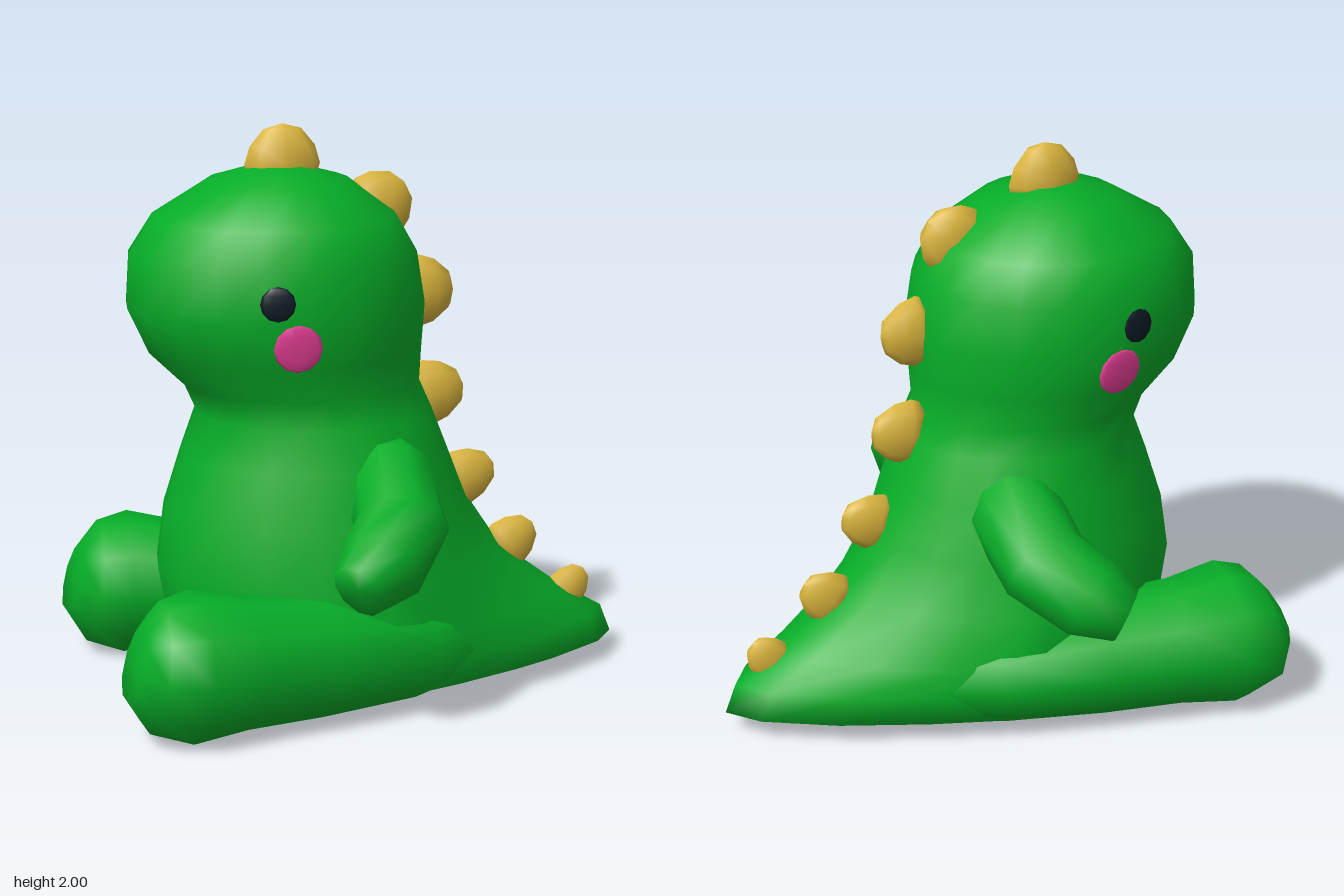
import * as THREE from 'three';

const green = new THREE.MeshStandardMaterial({ color: 0x06ad28 });
green.name = 'green skin';
const gold = new THREE.MeshStandardMaterial({ color: 0xdcb63e });
gold.name = 'gold spikes';
const pink = new THREE.MeshStandardMaterial({ color: 0xe83f98 });
pink.name = 'pink cheeks';
const dark = new THREE.MeshStandardMaterial({ color: 0x0c1a24 });
dark.name = 'dark eyes';

// Smooth closed skin over a list of rings with equal point counts
function loft(rings) {
  const n = rings[0].length, pos = [], index = [];
  rings.forEach(r => r.forEach(p => pos.push(p.x, p.y, p.z)));
  for (let i = 0; i < rings.length - 1; i++) {
    for (let j = 0; j < n; j++) {
      const k = (j + 1) % n;
      const a = i * n + j, b = i * n + k, c = a + n, d = b + n;
      index.push(a, b, d, a, d, c);
    }
  }
  // end caps
  [0, rings.length - 1].forEach(i => {
    const mid = new THREE.Vector3();
    rings[i].forEach(p => mid.addScaledVector(p, 1 / n));
    const m = pos.length / 3;
    pos.push(mid.x, mid.y, mid.z);
    for (let j = 0; j < n; j++) {
      const a = i * n + j, b = i * n + (j + 1) % n;
      if (i === 0) index.push(m, b, a); else index.push(m, a, b);
    }
  });
  const g = new THREE.BufferGeometry();
  g.setAttribute('position', new THREE.Float32BufferAttribute(pos, 3));
  g.setIndex(index);
  g.computeVertexNormals();
  return g;
}

// Horizontal slice: half width, centre z, front z, back z, tail sharpness k
function slice([y, w, zc, zf, zb, k]) {
  const ring = [], n = 20;
  for (let j = 0; j < n; j++) {
    const t = j / n * Math.PI * 2, s = Math.sin(t), c = Math.cos(t);
    if (c >= -1e-6) {
      ring.push(new THREE.Vector3(w * s, y, zc + (zf - zc) * c));
    } else {
      const x = w * Math.sign(s) * Math.abs(s) ** (1 + 0.2 * k);
      ring.push(new THREE.Vector3(x, y, zc + (zb - zc) * Math.abs(c) ** (1 + 0.7 * k)));
    }
  }
  return ring;
}

// Rounded limb: sections of [x, y, z, radius]
function limb(sections, side) {
  const p = sections.map(s => new THREE.Vector3(s[0] * side, s[1], s[2]));
  const n = 10;
  return loft(p.map((c, i) => {
    const d = p[Math.min(i + 1, p.length - 1)].clone().sub(p[Math.max(i - 1, 0)]).normalize();
    const u = new THREE.Vector3(0, 1, 0).cross(d).normalize();
    const v = d.clone().cross(u);
    return Array.from({ length: n }, (_, j) => {
      const t = j / n * Math.PI * 2;
      return c.clone().addScaledVector(u, sections[i][3] * Math.cos(t))
        .addScaledVector(v, sections[i][3] * Math.sin(t));
    });
  }));
}

export function createModel() {
  const model = new THREE.Group();
  model.name = 'sittingDinosaur';
  // the toy sits turned toward its right
  const toy = new THREE.Group();
  toy.name = 'toy';
  toy.position.set(0.08, 0, 0.057);
  toy.rotation.y = -0.607;
  model.add(toy);
  const add = (name, geometry, material) => {
    const m = new THREE.Mesh(geometry, material);
    m.name = name;
    toy.add(m);
    return m;
  };

  // tail, belly, neck and head in one skin
  add('bodyHeadAndTail', loft([
    [0.03, 0.40, -0.28, 0.10, -1.08, 1.35],
    [0.08, 0.52, -0.29, 0.28, -1.24, 1.35],
    [0.18, 0.54, -0.28, 0.38, -1.20, 1.35],
    [0.28, 0.545, -0.27, 0.43, -1.03, 1.1],
    [0.45, 0.53, -0.21, 0.46, -0.80, 0.7],
    [0.65, 0.485, -0.18, 0.435, -0.665, 0.4],
    [0.85, 0.445, -0.15, 0.37, -0.58, 0.15],
    [1.00, 0.395, -0.10, 0.315, -0.52, 0],
    [1.10, 0.388, -0.05, 0.36, -0.475, 0],
    [1.22, 0.43, 0, 0.485, -0.48, 0],
    [1.38, 0.462, 0.03, 0.56, -0.49, 0],
    [1.56, 0.445, 0.035, 0.55, -0.46, 0],
    [1.69, 0.39, 0.03, 0.465, -0.385, 0],
    [1.81, 0.24, 0.03, 0.27, -0.22, 0],
    [1.855, 0.09, 0.03, 0.12, -0.06, 0],
  ].map(slice)), green);

  for (const side of [1, -1]) {
    const word = side > 0 ? 'left' : 'right';
    add(word + 'Leg', limb([
      [0.22, 0.18, -0.66, 0.12], [0.37, 0.21, -0.35, 0.18], [0.44, 0.23, 0, 0.215],
      [0.49, 0.24, 0.28, 0.228], [0.52, 0.25, 0.47, 0.26], [0.525, 0.26, 0.595, 0.222],
      [0.525, 0.28, 0.66, 0.13],
    ], side), green);
    add(word + 'Arm', limb([
      [0.12, 0.89, -0.24, 0.11], [0.35, 0.80, -0.27, 0.165], [0.55, 0.69, -0.26, 0.162],
      [0.68, 0.595, -0.15, 0.148], [0.75, 0.54, -0.05, 0.10],
    ], side), green);

    // eye and cheek: thin ovals on the side of the head
    const oval = (name, mat, [x, y, z], angle, pitch, rx, ry) => {
      const m = add(word + name, new THREE.SphereGeometry(1, 10, 6), mat);
      m.position.set(side * x, y, z);
      m.rotation.set(pitch, side * angle, 0, 'YXZ');
      m.scale.set(rx, ry, 0.012);
    };
    oval('Eye', dark, [0.449, 1.46, 0.145], 1.35, -0.03, 0.06, 0.06);
    oval('Cheek', pink, [0.451, 1.305, 0.075], 1.45, 0.16, 0.083, 0.085);
  }

  // back spikes: y, z, backward tilt, half length, height
  const profile = [[0, -0.5], [0.9, -0.35], [1, 0], [0.86, 0.45], [0.5, 0.87], [0, 1]]
    .map(([x, y]) => new THREE.Vector2(x, y));
  const spikeShape = new THREE.LatheGeometry(profile, 8);
  [
    [1.86, 0.01, 0, 0.135, 0.14],
    [1.70, -0.335, 0.87, 0.13, 0.125],
    [1.39, -0.485, 1.57, 0.13, 0.13],
    [1.02, -0.525, 1.40, 0.12, 0.135],
    [0.70, -0.655, 1.20, 0.105, 0.13],
    [0.44, -0.835, 0.90, 0.098, 0.12],
    [0.25, -1.065, 0.70, 0.08, 0.10],
  ].forEach(([y, z, tilt, len, h], i) => {
    const m = add('spike' + (i + 1), spikeShape, gold);
    m.position.set(0, y, z);
    m.rotation.x = -tilt;
    m.scale.set(len * 0.5, h, len);
  });

  return model;
}
